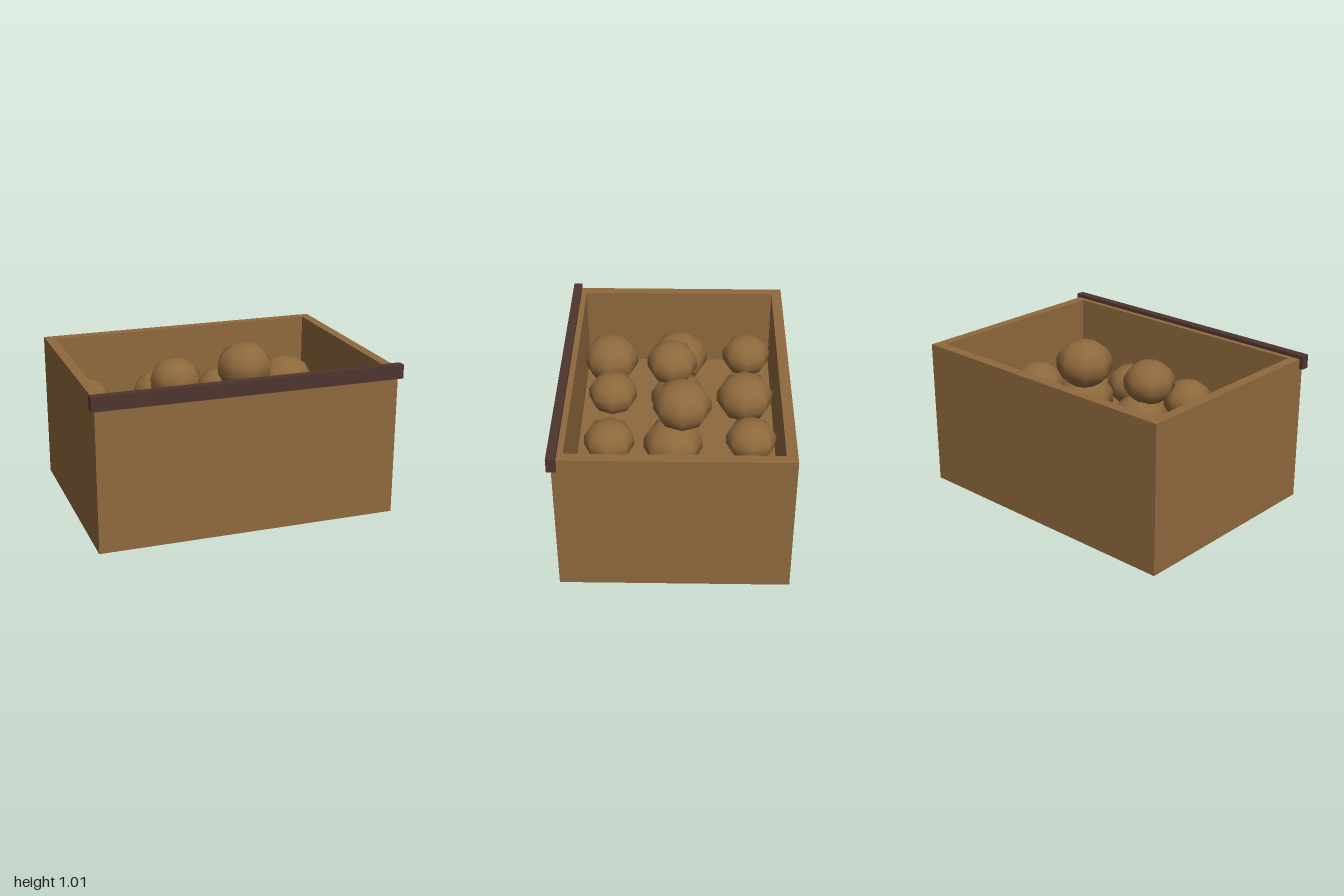
import * as THREE from 'three';

export function createModel() {
  const model = new THREE.Group();
  const wood = new THREE.MeshStandardMaterial({ color: 0x8f693d });
  wood.name = 'brown';
  const dark = new THREE.MeshStandardMaterial({ color: 0x4e342e });
  dark.name = 'dark brown';

  const add = (name, geometry, material, x, y, z) => {
    const mesh = new THREE.Mesh(geometry, material);
    mesh.name = name;
    mesh.position.set(x, y, z);
    model.add(mesh);
    return mesh;
  };

  // Walls: a rectangle with a rectangular hole, extruded upwards
  const corners = (x, z0, z1) => [[-x, z1], [x, z1], [x, z0], [-x, z0]]
    .map(([a, b]) => new THREE.Vector2(a, -b));
  const outline = new THREE.Shape(corners(0.975, -0.73, 0.705));
  outline.holes.push(new THREE.Path(corners(0.91, -0.662, 0.637)));
  const walls = new THREE.ExtrudeGeometry(outline, { depth: 0.977, bevelEnabled: false });
  walls.rotateX(-Math.PI / 2);
  add('crateWalls', walls, wood, 0, 0, 0);

  // Raised floor that the produce rests on
  add('crateFloor', new THREE.BoxGeometry(1.82, 0.42, 1.299), wood, 0, 0.21, -0.0125);

  // Dark strip along the front rim
  add('frontTrim', new THREE.BoxGeometry(2, 0.09, 0.056), dark, 0, 0.955, 0.702);

  // Low-poly, slightly squashed round produce: x, y, z, radius
  const ball = new THREE.SphereGeometry(1.025, 8, 7);
  [
    [-0.748, 0.575, -0.491, 0.165], [-0.238, 0.575, -0.467, 0.188],
    [0.212, 0.555, -0.497, 0.163], [0.712, 0.57, -0.502, 0.2],
    [-0.72, 0.58, -0.019, 0.195], [-0.233, 0.57, -0.022, 0.186],
    [0.286, 0.575, 0.008, 0.19], [0.727, 0.55, -0.005, 0.182],
    [-0.693, 0.575, 0.463, 0.19], [-0.268, 0.575, 0.426, 0.163],
    [0.237, 0.555, 0.423, 0.163], [0.727, 0.592, 0.438, 0.19],
    [-0.273, 0.825, 0.023, 0.166], [0.232, 0.845, -0.05, 0.186],
  ].forEach(([x, y, z, r], i) => {
    add('produce' + (i + 1), ball, wood, x, y, z).scale.set(r, r * 0.84, r);
  });

  return model;
}
